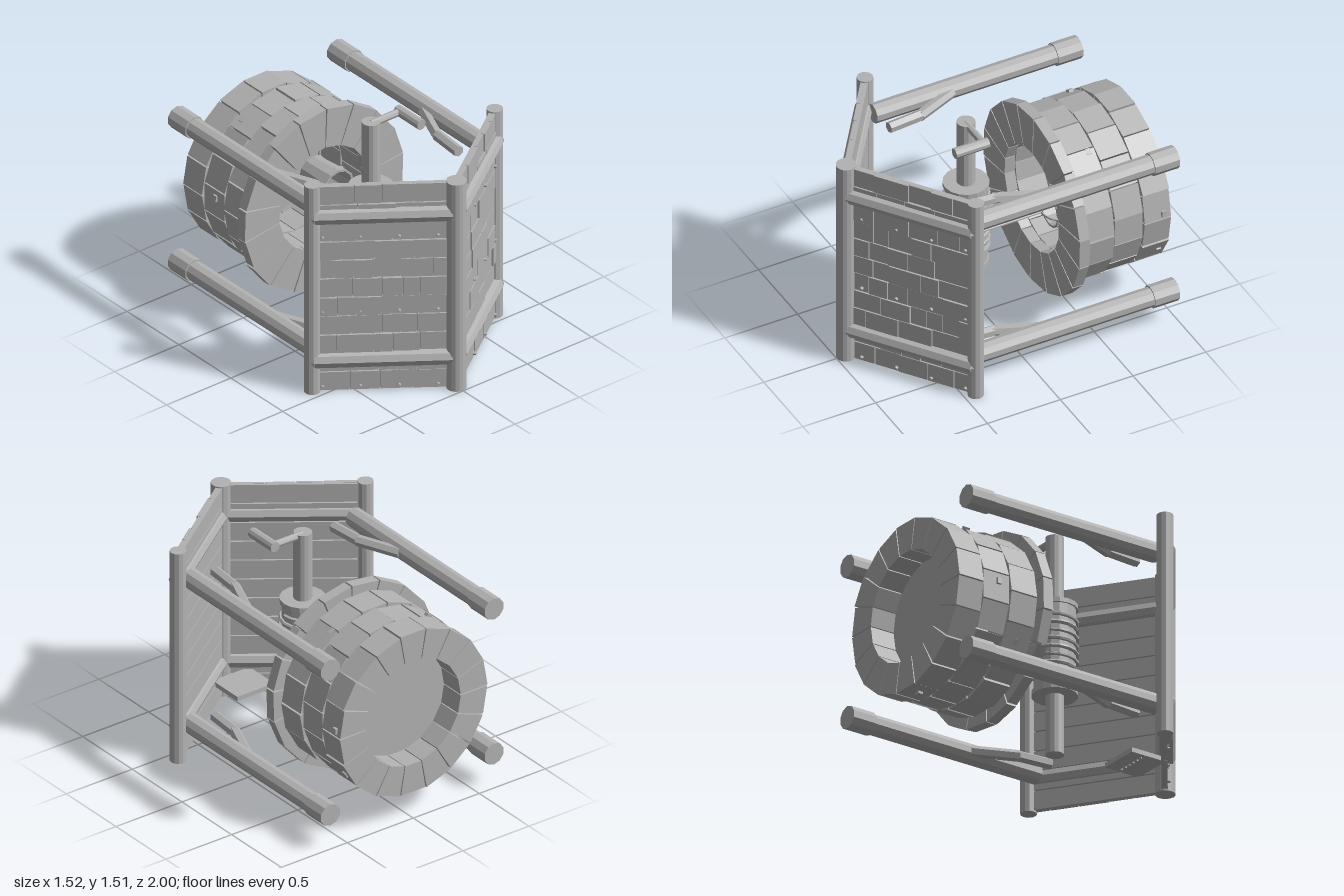
import * as THREE from 'three';

export function createModel() {
  const root = new THREE.Group();
  root.name = 'well';
  const grey = new THREE.MeshStandardMaterial({ color: 0xb2b2b2, flatShading: true, side: THREE.DoubleSide });
  grey.name = 'grey';
  const Y = 0.735; // height of the well's axis

  let seed = 7;
  const rand = () => (seed = (seed * 16807) % 2147483647) / 2147483647;

  const add = (name, geo, x = 0, y = 0, z = 0, parent = root) => {
    const m = new THREE.Mesh(geo, grey);
    m.name = name;
    m.position.set(x, y, z);
    parent.add(m);
    return m;
  };
  const box = (name, w, h, d, x, y, z, parent) => add(name, new THREE.BoxGeometry(w, h, d), x, y, z, parent);
  // round bar between two points
  const bar = (name, a, b, r, sides = 8, r2 = r, parent = root) => {
    const p = new THREE.Vector3(...a), q = new THREE.Vector3(...b);
    const m = add(name, new THREE.CylinderGeometry(r2, r, p.distanceTo(q), sides), 0, 0, 0, parent);
    m.position.copy(p).add(q).multiplyScalar(0.5);
    m.quaternion.setFromUnitVectors(new THREE.Vector3(0, 1, 0), q.sub(p).normalize());
    return m;
  };

  // stone courses, each a ring of wedge blocks
  const course = (name, z0, z1, rIn, rOut, count, phase) => {
    const g = new THREE.Group();
    g.name = name;
    g.position.set(0, Y, z0);
    root.add(g);
    const step = (Math.PI * 2) / count;
    for (let i = 0; i < count; i++) {
      const a = (i + phase) * step + 0.008, b = a + step - 0.016;
      const ro = rOut + (rand() - 0.5) * 0.012;
      const s = new THREE.Shape([[rIn, a], [ro, a], [ro, b], [rIn, b]]
        .map(([r, t]) => new THREE.Vector2(r * Math.cos(t), r * Math.sin(t))));
      add('stone', new THREE.ExtrudeGeometry(s, { depth: z1 - z0, bevelEnabled: false }), 0, 0, 0, g);
    }
  };
  course('baseCourse', -1, -0.82, 0.36, 0.56, 18, 0);
  course('middleCourse', -0.81, -0.62, 0.36, 0.555, 18, 0.5);
  course('upperCourse', -0.61, -0.42, 0.36, 0.56, 18, 0);
  course('rimCourse', -0.41, -0.34, 0.35, 0.62, 18, 0.4);
  add('water', new THREE.CircleGeometry(0.37, 18), 0, Y, -0.83);

  // small chips standing out of the stones
  for (const [deg, z] of [[122, -0.76], [58, -0.57], [4, -0.95], [-31, -0.95], [176, -0.7], [212, -0.52], [270, -0.9]]) {
    const t = deg * Math.PI / 180;
    box('stoneChip', 0.03, 0.04, 0.03, 0.55 * Math.cos(t), Y + 0.55 * Math.sin(t), z).rotation.z = t;
  }

  // posts with feet and braces
  for (const s of [-1, 1]) for (const y of [0.23, 1.24]) {
    bar('post', [s * 0.62, y, -0.98], [s * 0.62, y, 0.42], 0.064, 10);
    bar('postFoot', [s * 0.62, y, -0.99], [s * 0.62, y, -0.82], 0.074, 10);
    bar('lowerBrace', [s * 0.58, y, -0.1], [s * 0.465, y, 0.18], 0.036, 6);
    bar('upperBrace', [s * 0.47, y, 0.17], [s * 0.45, y, 0.4], 0.036, 6);
  }

  // roof poles
  bar('ridgePole', [0, 0, 0.935], [0, 1.46, 0.935], 0.063, 16);
  for (const s of [-1, 1]) bar('eavePole', [s * 0.71, 0, 0.425], [s * 0.71, 1.46, 0.425], 0.051, 12);

  // roof slopes: local x runs from ridge to eave, local z points outward
  const rowHeight = 0.1315, rows = 11;
  for (const s of [-1, 1]) {
    const slope = new THREE.Group();
    slope.name = s > 0 ? 'leftRoof' : 'rightRoof';
    slope.position.set(0, 0, 0.93);
    slope.rotation.y = s * 0.623;
    root.add(slope);
    for (let i = 0; i < rows; i++) {
      const y = 0.008 + rowHeight * (i + 0.5);
      box('board', 0.82, rowHeight - 0.008, 0.02, s * 0.44, y, -0.01, slope);
      let x = 0.03;
      while (x < 0.83) {
        let w = 0.1 + rand() * 0.14;
        if (x + w > 0.77) w = 0.85 - x;
        const d = 0.014 + rand() * 0.012;
        box('shingle', w - 0.004, rowHeight - 0.006, d, s * (x + w / 2), y, d / 2, slope);
        x += w;
      }
      if (i % 4 === 0) for (const nx of [0.11, 0.345, 0.58, 0.81]) {
        bar('nail', [s * nx, y - 0.038, 0.015], [s * nx, y - 0.038, 0.034], 0.012, 8, 0.009, slope);
      }
    }
    for (const y of [0.225, 1.24]) {
      bar('rafter', [s * 0.02, y, 0.01], [s * 0.86, y, 0.01], 0.056, 8, 0.056, slope);
      bar('rafterTip', [s * 0.86, y, 0.01], [s * 0.91, y, 0.005], 0.056, 8, 0.025, slope);
    }
  }

  // small shelf under the ridge with a row of pegs
  box('shelf', 0.28, 0.03, 0.25, 0, 0.155, 0.71);
  for (let i = 0; i < 6; i++) bar('shelfPeg', [-0.1 + i * 0.04, 0.13, 0.68], [-0.1 + i * 0.04, 0.145, 0.68], 0.01, 6);

  // windlass
  const az = 0.112;
  bar('axle', [0, 0.04, az], [0, 1.49, az], 0.058, 14);
  bar('drum', [0, 0.43, az], [0, 1.035, az], 0.131, 16);
  for (const y of [0.445, 1.02]) bar('drumCollar', [0, y - 0.015, az], [0, y + 0.015, az], 0.143, 16);
  bar('crankArm', [0, 1.472, az], [0.24, 1.472, az], 0.024, 8);
  bar('crankHandle', [0.23, 1.472, 0.085], [0.23, 1.472, 0.315], 0.034, 10);

  // rope wound on the drum, and the strand running to the bucket
  const turns = 8, coil = [];
  for (let i = 0; i <= turns * 12; i++) {
    const t = (i / 12) * Math.PI * 2;
    coil.push(new THREE.Vector3(0.138 * Math.cos(t), 0.52 + 0.43 * i / (turns * 12), az + 0.138 * Math.sin(t)));
  }
  add('ropeCoil', new THREE.TubeGeometry(new THREE.CatmullRomCurve3(coil), turns * 16, 0.013, 6));
  bar('rope', [0.145, Y, az], [0.145, Y, -0.33], 0.009, 6);

  // bucket
  const bucket = new THREE.Group();
  bucket.name = 'bucket';
  bucket.position.set(0.145, Y, -0.38);
  bucket.rotation.x = Math.PI / 2;
  root.add(bucket);
  const profile = [[0, -0.24], [0.1, -0.24], [0.12, 0], [0.105, 0], [0.088, -0.22], [0, -0.22]];
  add('bucketBody', new THREE.LatheGeometry(profile.map(p => new THREE.Vector2(...p)), 12), 0, 0, 0, bucket);
  for (const [y, r] of [[-0.03, 0.118], [-0.23, 0.103]]) {
    add('bucketHoop', new THREE.CylinderGeometry(r + 0.008, r + 0.006, 0.025, 12, 1, true), 0, y, 0, bucket);
  }
  const handle = add('bucketHandle', new THREE.TorusGeometry(0.11, 0.008, 6, 14, Math.PI), 0, 0, 0, bucket);
  handle.scale.y = 0.5;

  return root;
}
